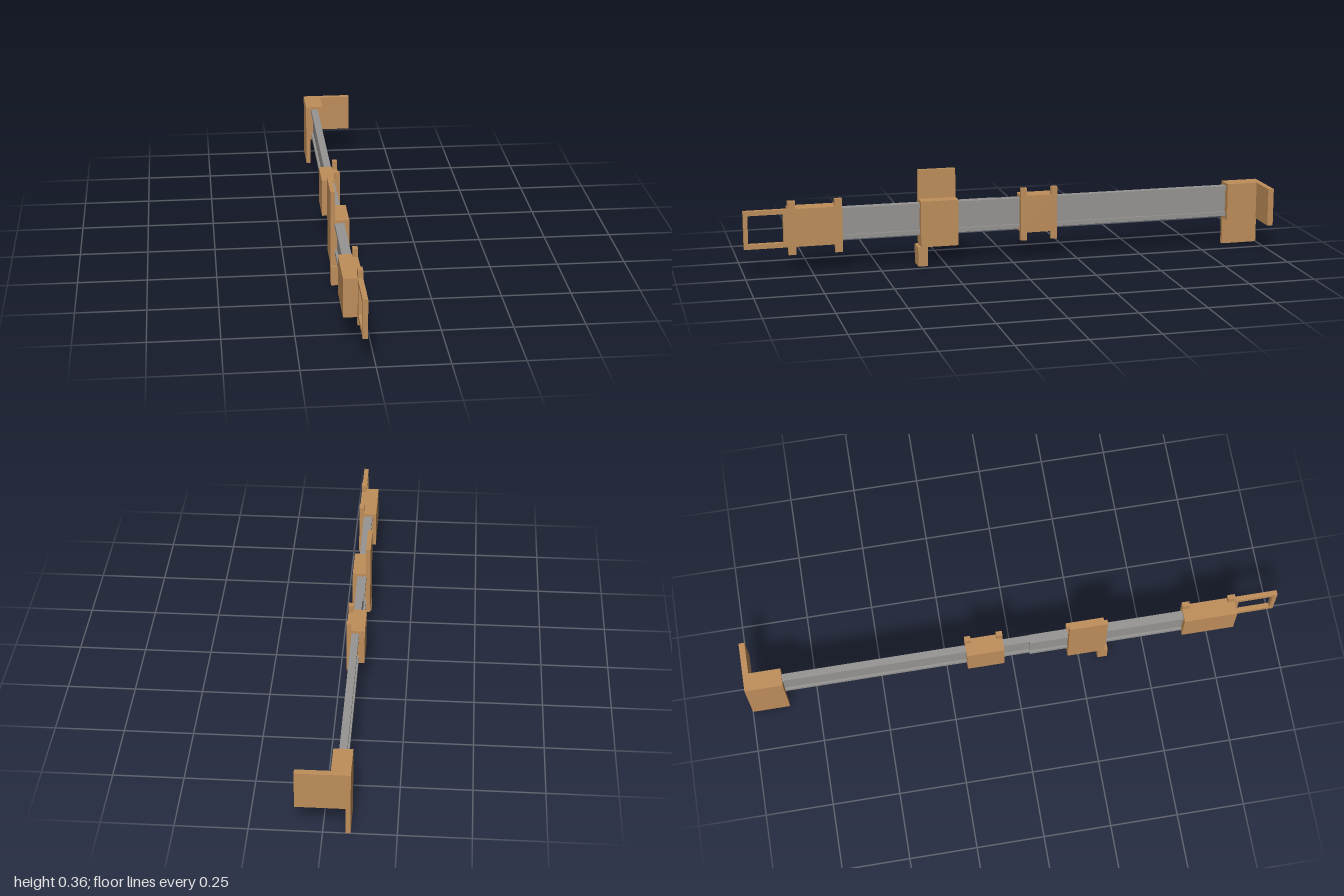
import * as THREE from 'three';

const wood = new THREE.MeshStandardMaterial({ name: 'tan plastic', color: 0xbf8e5a });
const metal = new THREE.MeshStandardMaterial({ name: 'grey metal', color: 0x979592 });

// Box given by its min and max along x, y and z
function box(name, [x0, x1], [y0, y1], [z0, z1]) {
  const mesh = new THREE.Mesh(new THREE.BoxGeometry(x1 - x0, y1 - y0, z1 - z0), wood);
  mesh.position.set((x0 + x1) / 2, (y0 + y1) / 2, (z0 + z1) / 2);
  mesh.name = name;
  return mesh;
}

function group(name, ...parts) {
  const g = new THREE.Group();
  g.name = name;
  return g.add(...parts);
}

// Rail with an I-shaped cross-section, extruded along z
function rail(name, [x0, x1], [z0, z1]) {
  const y0 = 0.118, y1 = 0.236, lip = 0.016, recess = 0.008;
  const a = x0 + recess, b = x1 - recess;
  const shape = new THREE.Shape([
    [x0, y0], [x1, y0], [x1, y0 + lip], [b, y0 + lip], [b, y1 - lip], [x1, y1 - lip],
    [x1, y1], [x0, y1], [x0, y1 - lip], [a, y1 - lip], [a, y0 + lip], [x0, y0 + lip],
  ].map(([x, y]) => new THREE.Vector2(x, y)));
  const geometry = new THREE.ExtrudeGeometry(shape, { depth: z1 - z0, bevelEnabled: false });
  const mesh = new THREE.Mesh(geometry, metal);
  mesh.position.z = z0;
  mesh.name = name;
  return mesh;
}

const FULL = [-0.094, -0.027];   // whole width of the holders
const BACK = [-0.094, -0.077];   // thin plate on the right-hand face
const FACE = [-0.045, -0.027];   // thin plate on the left-hand face
const BODY = [0.105, 0.247];
const RIB = [0.075, 0.276];

// Sliding holder: block with an upright rib at each end
function slider(name, [z0, z1], rib) {
  return group(name,
    box('sliderBody', FULL, BODY, [z0 + 0.001, z1 - 0.001]),
    box('rearRib', FACE, RIB, [z0, z0 + rib]),
    box('frontRib', FACE, RIB, [z1 - rib, z1]));
}

// Rectangular pull loop, an extruded frame lying in the yz plane
function pullLoop([z0, z1]) {
  const rect = (C, a, b, c, d) => new C([[a, c], [b, c], [b, d], [a, d]]
    .map(([x, y]) => new THREE.Vector2(x, y)));
  const shape = rect(THREE.Shape, -z1, -z0, BODY[0], BODY[1]);
  shape.holes.push(rect(THREE.Path, -z1 + 0.016, -z0 - 0.018, 0.123, 0.23));
  const geometry = new THREE.ExtrudeGeometry(shape, { depth: FACE[1] - FACE[0], bevelEnabled: false });
  geometry.rotateY(Math.PI / 2);
  const mesh = new THREE.Mesh(geometry, wood);
  mesh.position.x = FACE[0];
  mesh.name = 'pullLoop';
  return mesh;
}

export function createModel() {
  const model = new THREE.Group();
  model.name = 'slideRailAssembly';

  model.add(
    rail('rearRail', [-0.073, -0.046], [-0.97, 0.06]),
    rail('frontRail', [-0.079, -0.045], [0.06, 0.8]));

  // Rear bracket: block, mounting flange and hanging leg
  model.add(group('rearBracket',
    box('bracketBlock', FULL, BODY, [-0.98, -0.86]),
    box('bracketFlange', [-0.094, 0.094], BODY, [-1, -0.978]),
    box('bracketLeg', BACK, [0, 0.106], [-1, -0.86])));

  model.add(slider('middleSlider', [-0.178, -0.037], 0.023));

  // Centre catch: block with a tall back plate and a small foot
  model.add(group('centreCatch',
    box('catchBlock', FULL, [0.073, 0.247], [0.203, 0.345]),
    box('catchPlate', BACK, [0.24, 0.356], [0.203, 0.345]),
    box('catchFoot', FULL, [0, 0.073], [0.32, 0.357])));

  // Front slider with its pull loop
  model.add(group('frontPull', slider('frontSlider', [0.638, 0.838], 0.028), pullLoop([0.837, 1])));

  return model;
}
